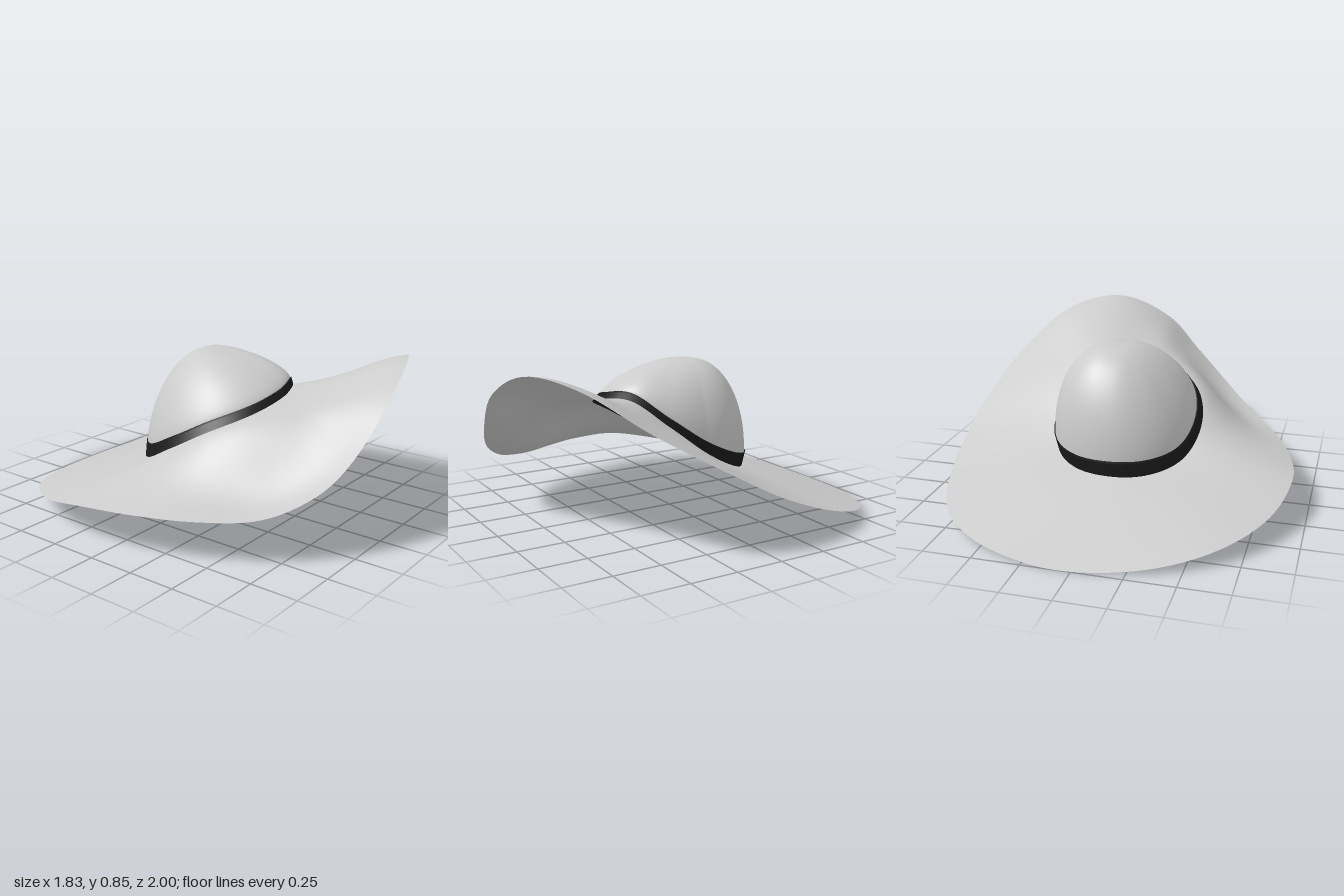
import * as THREE from 'three';

const COLS = 144;
const { lerp } = THREE.MathUtils;

// Closed surface of rings; fn(i, t) gives the point of column i, t running from inside/top to outside/bottom
function ringSurface(name, rows, fn, color) {
  const pos = [], index = [];
  for (let j = 0; j <= rows; j++)
    for (let i = 0; i < COLS; i++) pos.push(...fn(i, j / rows));
  for (let j = 0; j < rows; j++)
    for (let i = 0; i < COLS; i++) {
      const n = (i + 1) % COLS;
      const a = j * COLS + i, b = j * COLS + n, c = a + COLS, d = b + COLS;
      index.push(a, c, b, b, c, d);
    }
  const geo = new THREE.BufferGeometry();
  geo.setAttribute('position', new THREE.Float32BufferAttribute(pos, 3));
  geo.setIndex(index);
  geo.computeVertexNormals();
  const mesh = new THREE.Mesh(geo, new THREE.MeshStandardMaterial({ color, side: THREE.DoubleSide }));
  mesh.name = name;
  return mesh;
}

// Outer edge of the brim, from the front round by +x
const edge = new THREE.CatmullRomCurve3([
  [0, 0.715, 1], [0.29, 0.845, 0.945], [0.555, 0.805, 0.8], [0.77, 0.62, 0.55],
  [0.875, 0.425, 0.22], [0.91, 0.27, -0.07], [0.875, 0.142, -0.4], [0.775, 0.07, -0.67],
  [0.6, 0.035, -0.84], [0.35, 0.012, -0.955], [0.05, 0, -1], [-0.34, 0.025, -0.93],
  [-0.64, 0.075, -0.755], [-0.84, 0.13, -0.47], [-0.915, 0.2, -0.13], [-0.865, 0.213, 0.16],
  [-0.76, 0.217, 0.43], [-0.62, 0.235, 0.67], [-0.5, 0.285, 0.8], [-0.36, 0.38, 0.91], [-0.19, 0.53, 0.975],
].map((p) => new THREE.Vector3(...p)), true, 'centripetal');

// Height of the head opening every 30 degrees, from the front round by +x, joined smoothly
const RIM = [0.635, 0.65, 0.52, 0.375, 0.272, 0.227, 0.22, 0.23, 0.275, 0.385, 0.5, 0.58];
function rimHeight(angle) {
  const u = ((angle / (Math.PI * 2) + 1) % 1) * 12;
  const k = Math.floor(u), f = u - k, at = (n) => RIM[(n + 12) % 12];
  const m0 = (at(k + 1) - at(k - 1)) / 2, m1 = (at(k + 2) - at(k)) / 2;
  const f2 = f * f, f3 = f2 * f;
  return (2 * f3 - 3 * f2 + 1) * at(k) + (f3 - 2 * f2 + f) * m0 + (3 * f2 - 2 * f3) * at(k + 1) + (f3 - f2) * m1;
}

// One column per edge sample: edge point, angle, opening, band top
const columns = Array.from({ length: COLS }, (_, i) => {
  const out = edge.getPointAt(i / COLS);
  const a = Math.atan2(out.x, out.z), s = Math.sin(a), c = Math.cos(a);
  const r = 0.385 - 0.02 * s + 0.018 * c * c + 0.006 * c
    + 0.025 * Math.max(0, -Math.sin(2 * a)) * Math.max(0, s);
  const rim = new THREE.Vector3(r * s, rimHeight(a), r * c);
  // the band leans outward at the back left and inward at the front right
  const top = r - 0.007 + 0.02 * s - 0.016 * c;
  return { a, s, c, out, rim, top, topY: rim.y + 0.058 - 0.026 * c };
});

export function createModel() {
  const hat = new THREE.Group();
  hat.name = 'hat';

  // Wide brim, sagging in an S across the front
  hat.add(ringSurface('brim', 32, (i, t) => {
    const { a, rim, out } = columns[i];
    const sag = 0.05 + 0.85 * Math.max(0, Math.cos(a + 0.35)) ** 2;
    const q = t ** (0.93 + 0.45 * Math.cos(a - 1.1));
    const f = lerp(t, q * q * q * (q * (6 * q - 15) + 10), sag);
    return [lerp(rim.x, out.x, t), lerp(rim.y, out.y, f), lerp(rim.z, out.z, t)];
  }, 0xcccccc));

  // Domed crown with its top set back, fuller at the back left, and a faint crease
  hat.add(ringSurface('crown', 36, (i, t) => {
    const { a, s, c, top, topY } = columns[i];
    const phi = (1 - t) * Math.PI / 2, r = top - 0.006;
    const k = Math.max(0, Math.cos(phi)) ** (1 - 0.13 * Math.max(0, Math.cos(a - 2.1)));
    const power = 1.28 + 0.33 * Math.cos(a + Math.PI / 4);
    const x = r * s * k + 0.04 * (1 - k);
    const z = r * c * k - 0.07 * (1 - k);
    const crease = 0.005 * Math.exp(-(((x - 0.03) / 0.06) ** 2)) * (1 - k * k);
    return [x, topY + (0.824 - topY) * Math.sin(phi) ** power - crease, z];
  }, 0xcccccc));

  // Dark band with a small lip against the crown
  hat.add(ringSurface('band', 6, (i, t) => {
    const { s, c, rim, top, topY } = columns[i];
    if (t === 0) return [(top - 0.006) * s, topY, (top - 0.006) * c];
    const f = (t * 6 - 1) / 5;
    return [lerp(top * s, rim.x, f), lerp(topY + 0.003, rim.y, f), lerp(top * c, rim.z, f)];
  }, 0x1a1a1a));

  return hat;
}
